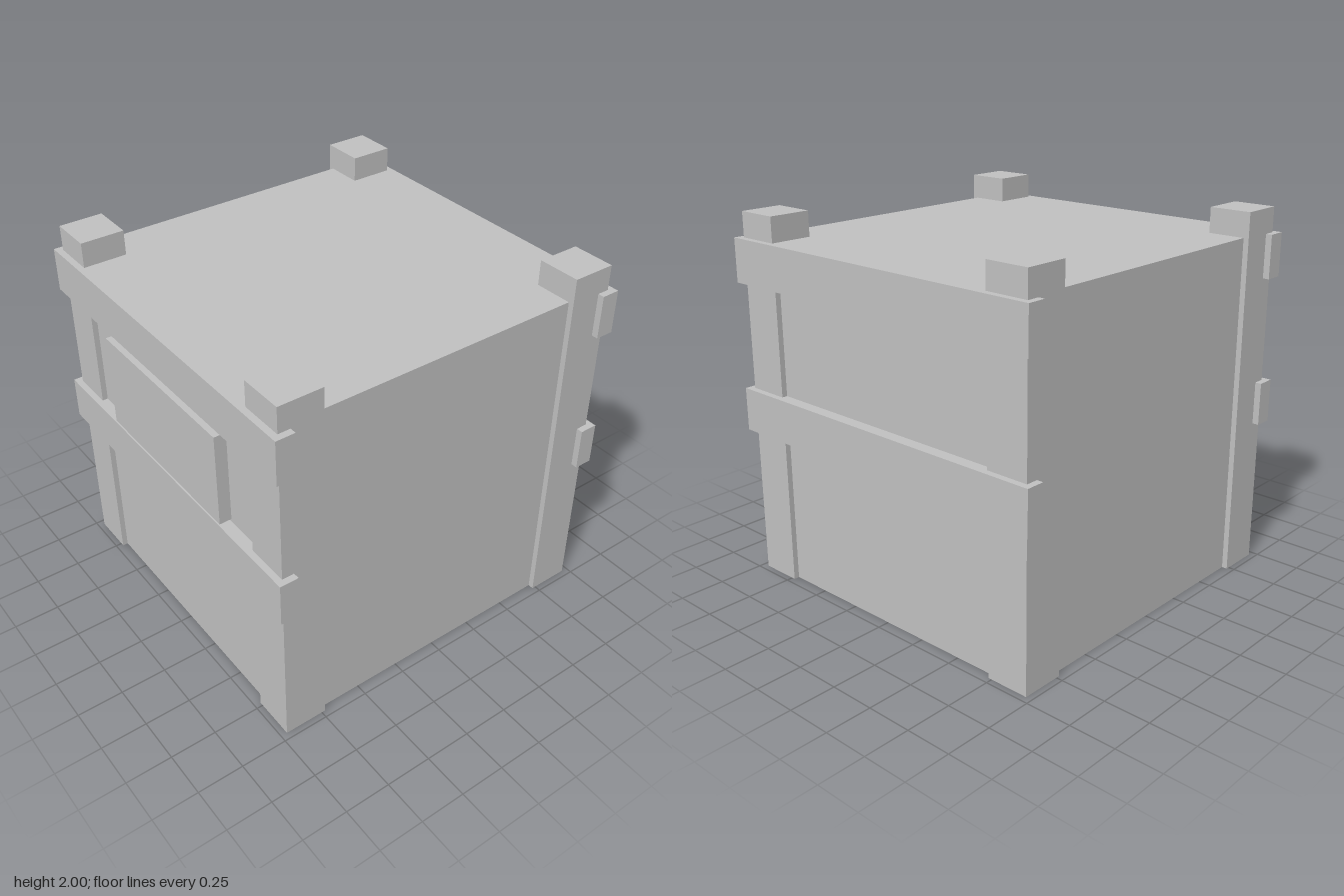
import * as THREE from 'three';

export function createModel() {
  const group = new THREE.Group();
  const grey = new THREE.MeshStandardMaterial({ color: 0xc0c0c0 });
  grey.name = 'plain grey';

  // Box given by its minimum and maximum corners
  function box(name, [x0, y0, z0], [x1, y1, z1]) {
    const mesh = new THREE.Mesh(new THREE.BoxGeometry(x1 - x0, y1 - y0, z1 - z0), grey);
    mesh.position.set((x0 + x1) / 2, (y0 + y1) / 2, (z0 + z1) / 2);
    mesh.name = name;
    group.add(mesh);
    return mesh;
  }

  // Crate body, slightly recessed between the posts
  box('body', [-0.935, 0, -0.935], [0.935, 1.865, 0.935]);

  for (const [end, sz] of [['front', 1], ['back', -1]]) {
    // Corner posts rising above the lid
    for (const [side, sx] of [['Left', 1], ['Right', -1]]) {
      const post = box(end + side + 'Post', [0.73, 0, 0.73], [0.965, 2, 0.965]);
      post.position.x *= sx;
      post.position.z *= sz;
    }
    // Horizontal rails across the front and back
    for (const [level, y] of [['Lower', 0.82], ['Upper', 1.63]]) {
      const rail = box(end + level + 'Rail', [-1, y, 0.9], [1, y + 0.235, 1]);
      rail.position.z *= sz;
    }
  }

  // Blank plate on the front
  box('frontPlate', [-0.505, 1.07, 0.93], [0.505, 1.58, 1]);

  return group;
}
